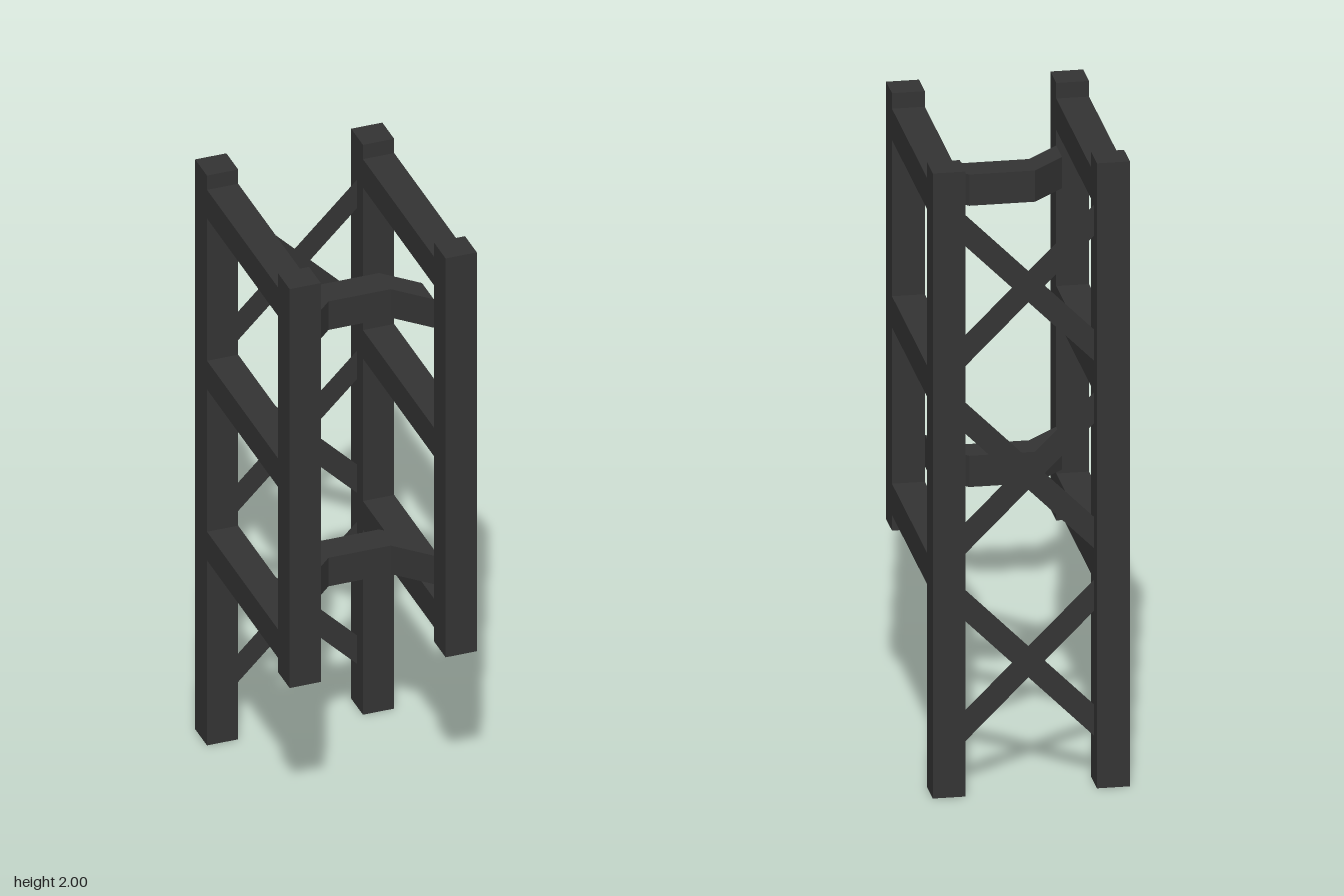
import * as THREE from 'three';

const darkMetal = new THREE.MeshStandardMaterial({ color: 0x333333 });
darkMetal.name = 'darkMetal';
const darkMetalSheet = darkMetal.clone();
darkMetalSheet.name = 'darkMetalSheet';
darkMetalSheet.side = THREE.DoubleSide;

const polygon = (points) => new THREE.Shape(points.map(([x, y]) => new THREE.Vector2(x, y)));

export function createModel() {
  const model = new THREE.Group();
  model.name = 'ladderFrame';

  const add = (name, geometry, x, y, z, material = darkMetal) => {
    const mesh = new THREE.Mesh(geometry, material);
    mesh.name = name;
    mesh.position.set(x, y, z);
    model.add(mesh);
  };

  // Posts and side rails, mirrored left and right
  for (const [label, side] of [['left', 1], ['right', -1]]) {
    const x = side * 0.25;
    add(`${label}BackPost`, new THREE.BoxGeometry(0.1, 2, 0.1), x, 1, -0.35);
    add(`${label}FrontPost`, new THREE.BoxGeometry(0.1, 1.4, 0.1), x, 1.3, 0.35);
    for (const y of [0.7, 1.3, 1.9]) {
      add(`${label}SideRail`, new THREE.BoxGeometry(0.1, 0.1, 0.6), x, y, 0);
    }
  }

  // Front rungs, bent inwards; plan outline in x and z
  const rung = new THREE.ExtrudeGeometry(polygon([
    [-0.2, 0.3], [-0.1, 0.2], [0.1, 0.2], [0.2, 0.3],
    [0.2, 0.2], [0.1, 0.1], [-0.1, 0.1], [-0.2, 0.2],
  ]), { depth: 0.1, bevelEnabled: false });
  rung.rotateX(Math.PI / 2); // outline into the floor plan, depth downwards
  for (const top of [0.9, 1.8]) add('frontRung', rung, 0, top, 0);

  // Flat cross braces between the back posts
  for (const y of [0.4, 1, 1.6]) {
    for (const s of [1, -1]) {
      const brace = new THREE.ShapeGeometry(polygon([
        [-0.2, -0.2 * s - 0.05], [0.2, 0.2 * s - 0.05],
        [0.2, 0.2 * s + 0.05], [-0.2, -0.2 * s + 0.05],
      ]));
      add('backCrossBrace', brace, 0, y, -0.35, darkMetalSheet);
    }
  }

  return model;
}
